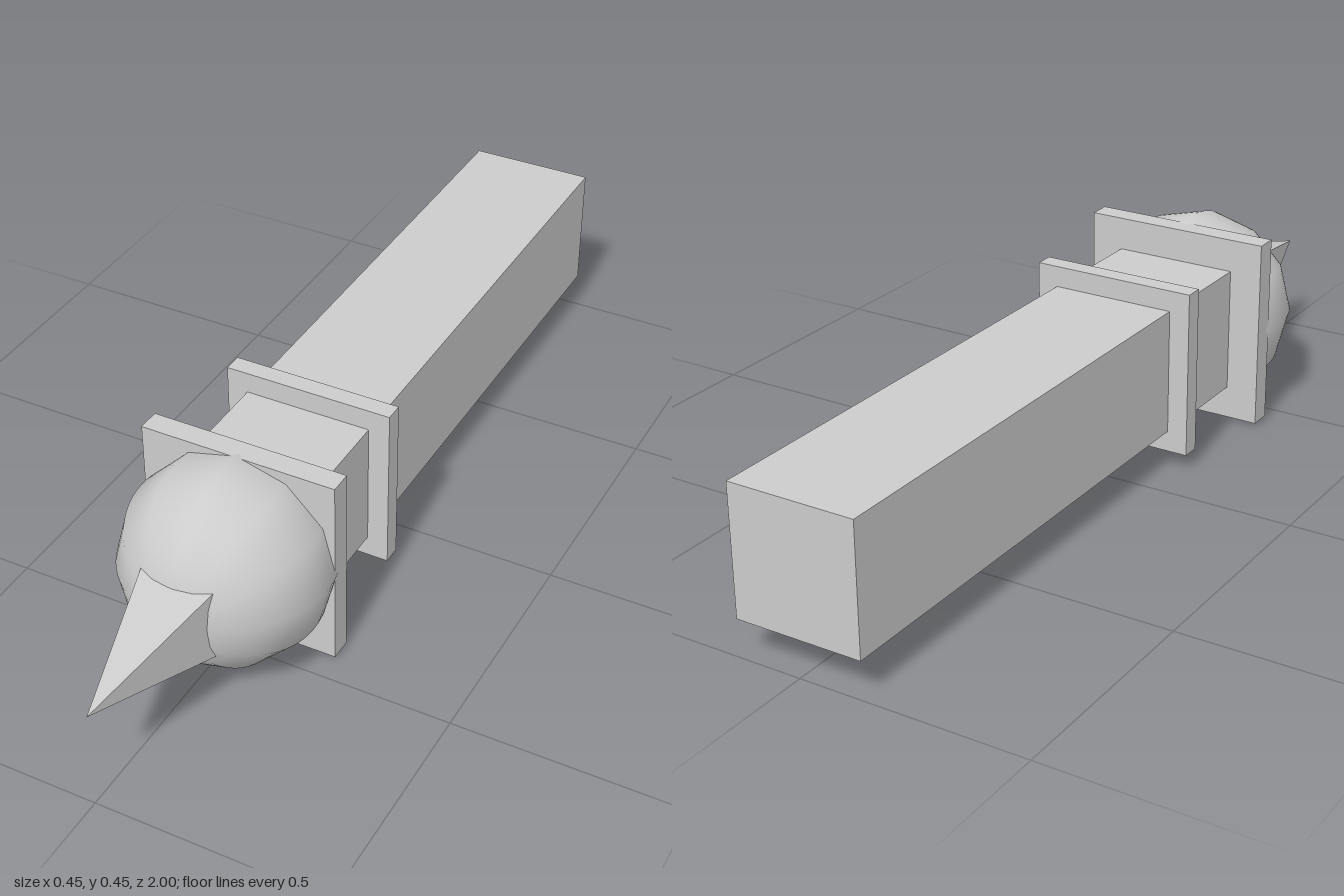
import * as THREE from 'three';

export function createModel() {
  const model = new THREE.Group();
  const smooth = new THREE.MeshStandardMaterial({ color: 0xcccccc, side: THREE.DoubleSide });
  const flat = new THREE.MeshStandardMaterial({ color: 0xcccccc, flatShading: true });
  const axisY = 0.224;

  function add(name, geometry, material, z) {
    const mesh = new THREE.Mesh(geometry, material);
    mesh.name = name;
    mesh.position.set(0, axisY, z);
    model.add(mesh);
  }

  // Square bar running between two z positions
  function addBar(name, width, back, front) {
    add(name, new THREE.BoxGeometry(width, width, front - back), flat, (back + front) / 2);
  }

  addBar('shaft', 0.284, -1, 0.42);
  addBar('collar', 0.378, 0.115, 0.157);
  addBar('basePlate', 0.433, 0.395, 0.445);

  // Dome with its pole facing forward, cut off inside the base plate
  const dome = new THREE.SphereGeometry(0.224, 12, 20, 0, Math.PI * 2, 0, 1.82);
  dome.rotateX(Math.PI / 2);
  add('dome', dome, smooth, 0.488);

  // Four-sided spike rooted inside the dome
  const spike = new THREE.ConeGeometry(0.1 * Math.SQRT2, 0.4, 4);
  spike.rotateY(Math.PI / 4);
  spike.rotateX(Math.PI / 2);
  add('spike', spike, flat, 0.8);

  return model;
}
